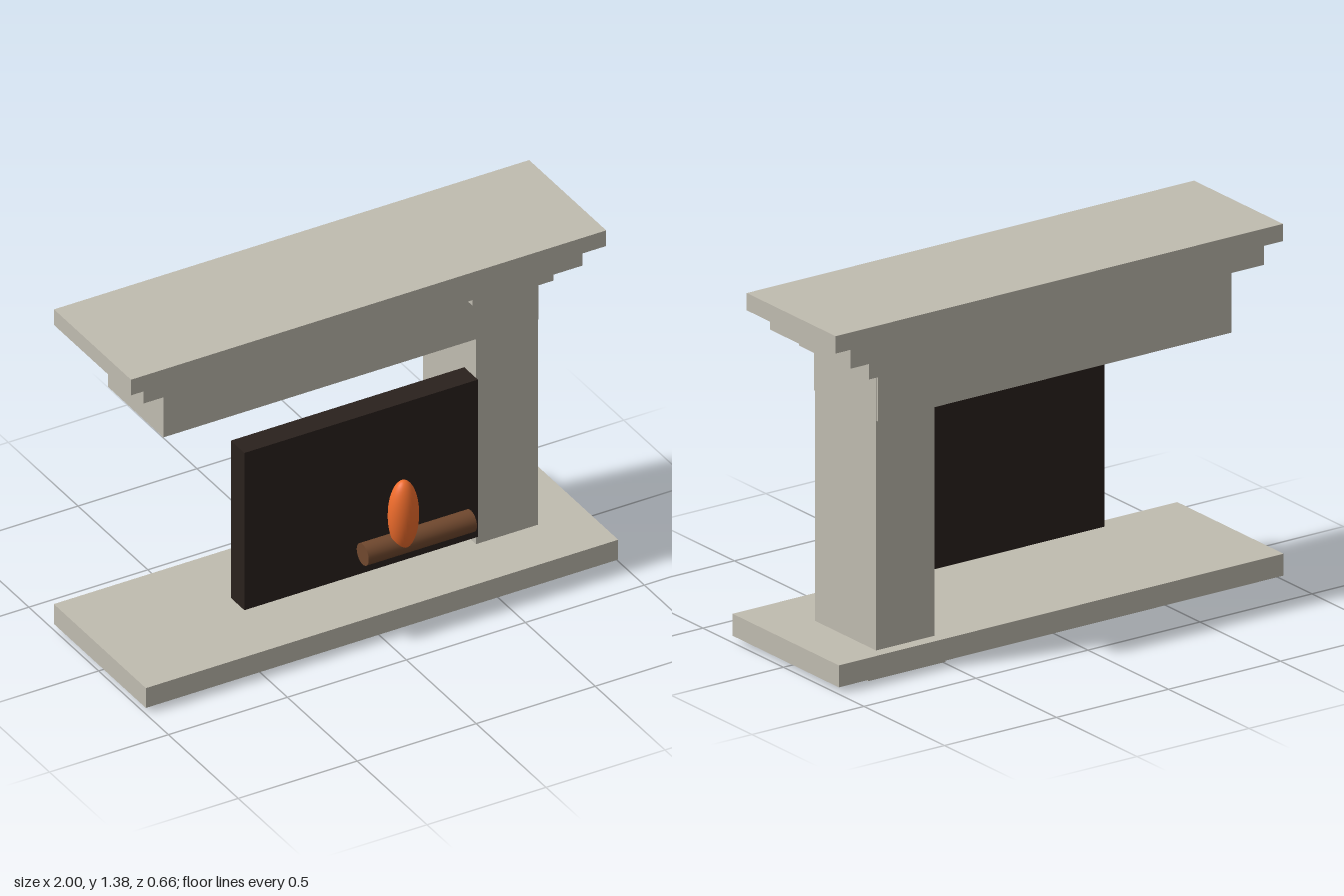
import * as THREE from 'three';

export function createModel() {
  const model = new THREE.Group();
  model.name = 'fireplace';

  const mat = (color) => new THREE.MeshStandardMaterial({ color });
  const stone = mat(0xc0bcb0);
  const soot = mat(0x2a211d);
  const wood = mat(0x70482e);
  const fire = mat(0xee6c2c);

  const add = (name, geometry, material, x, y, z) => {
    const mesh = new THREE.Mesh(geometry, material);
    mesh.name = name;
    mesh.position.set(x, y, z);
    model.add(mesh);
    return mesh;
  };

  // Box given by its extents along each axis
  const block = (name, material, [x0, x1], [y0, y1], [z0, z1]) =>
    add(name, new THREE.BoxGeometry(x1 - x0, y1 - y0, z1 - z0), material,
      (x0 + x1) / 2, (y0 + y1) / 2, (z0 + z1) / 2);

  // Base: hearth slab with the pillar's foot showing beneath it
  block('hearth', stone, [-0.995, 0.99], [0.02, 0.105], [-0.33, 0.33]);
  block('pillarFoot', stone, [0.49, 0.835], [0, 0.06], [-0.297, 0.146]);

  // Single pillar with its capital
  block('pillar', stone, [0.53, 0.79], [0.06, 1.165], [-0.283, 0.095]);
  block('capital', stone, [0.49, 0.83], [1.165, 1.23], [-0.294, 0.14]);

  // Frieze and stepped mantel
  block('frieze', stone, [-0.79, 0.787], [0.993, 1.23], [-0.291, 0.106]);
  block('mantelMoulding', stone, [-0.925, 0.92], [1.23, 1.31], [-0.305, 0.194]);
  block('mantelShelf', stone, [-1, 0.997], [1.31, 1.377], [-0.32, 0.232]);

  // Dark firebox panel
  block('firebox', soot, [-0.492, 0.489], [0.195, 0.87], [0.081, 0.178]);

  // Log lying along x
  const log = add('log', new THREE.CylinderGeometry(0.043, 0.043, 0.455, 32), wood, 0.207, 0.307, 0.222);
  log.rotation.z = Math.PI / 2;

  // Flame: stretched sphere
  const flame = add('flame', new THREE.SphereGeometry(1, 32, 24), fire, 0.14, 0.437, 0.24);
  flame.scale.set(0.059, 0.146, 0.052);

  return model;
}
